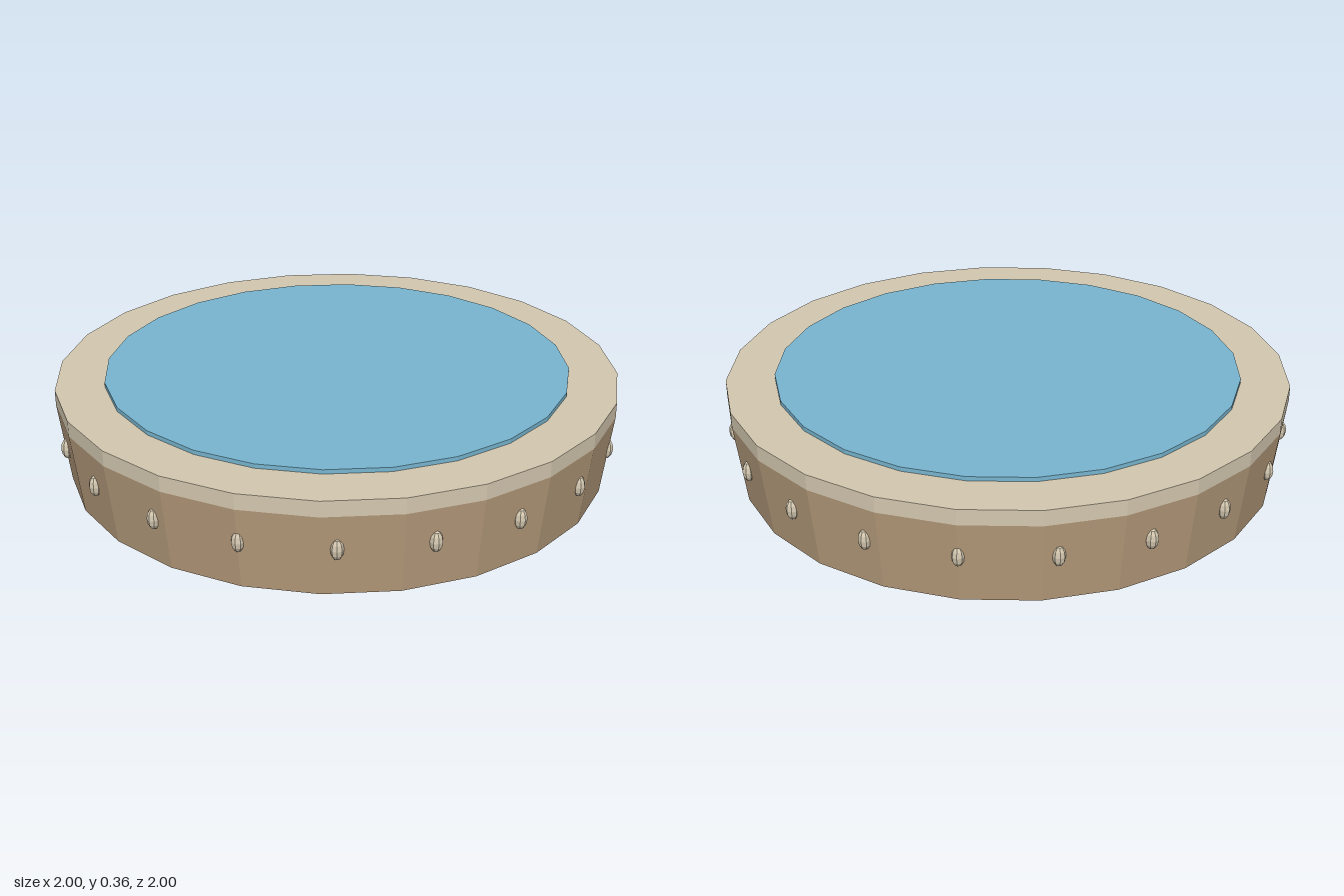
import * as THREE from 'three';

const SIDES = 24;

function part(name, geometry, color) {
  const mesh = new THREE.Mesh(geometry, new THREE.MeshStandardMaterial({ color, flatShading: true }));
  mesh.name = name;
  return mesh;
}

// Faceted ring or solid turned from [radius, y] points
function turned(points) {
  return new THREE.LatheGeometry(points.map(([r, y]) => new THREE.Vector2(r, y)), SIDES);
}

export function createModel() {
  const model = new THREE.Group();
  model.name = 'roundPool';

  // Flared basin wall with a closed floor
  model.add(part('basin', turned([[0, 0], [0.965, 0], [1, 0.29]]), 0xb89d7d));

  // Flat-topped rim
  model.add(part('rim', turned([[1, 0.29], [1, 0.345], [0.8, 0.345]]), 0xd4c8b0));

  // Water disc standing just proud of the rim
  model.add(part('water', turned([[0.828, 0.34], [0.828, 0.36], [0, 0.36]]), 0x78b6d0));

  // Ring of oval studs around the wall
  const studs = new THREE.Group();
  studs.name = 'studs';
  const studGeometry = new THREE.SphereGeometry(1, 8, 6).scale(0.022, 0.037, 0.022);
  const studCount = 20;
  for (let i = 0; i < studCount; i++) {
    const angle = (i / studCount) * Math.PI * 2;
    const stud = part('stud', studGeometry, 0xd4c8b0);
    stud.position.set(Math.sin(angle) * 0.979, 0.17, Math.cos(angle) * 0.979);
    stud.rotation.y = angle;
    studs.add(stud);
  }
  model.add(studs);

  return model;
}
